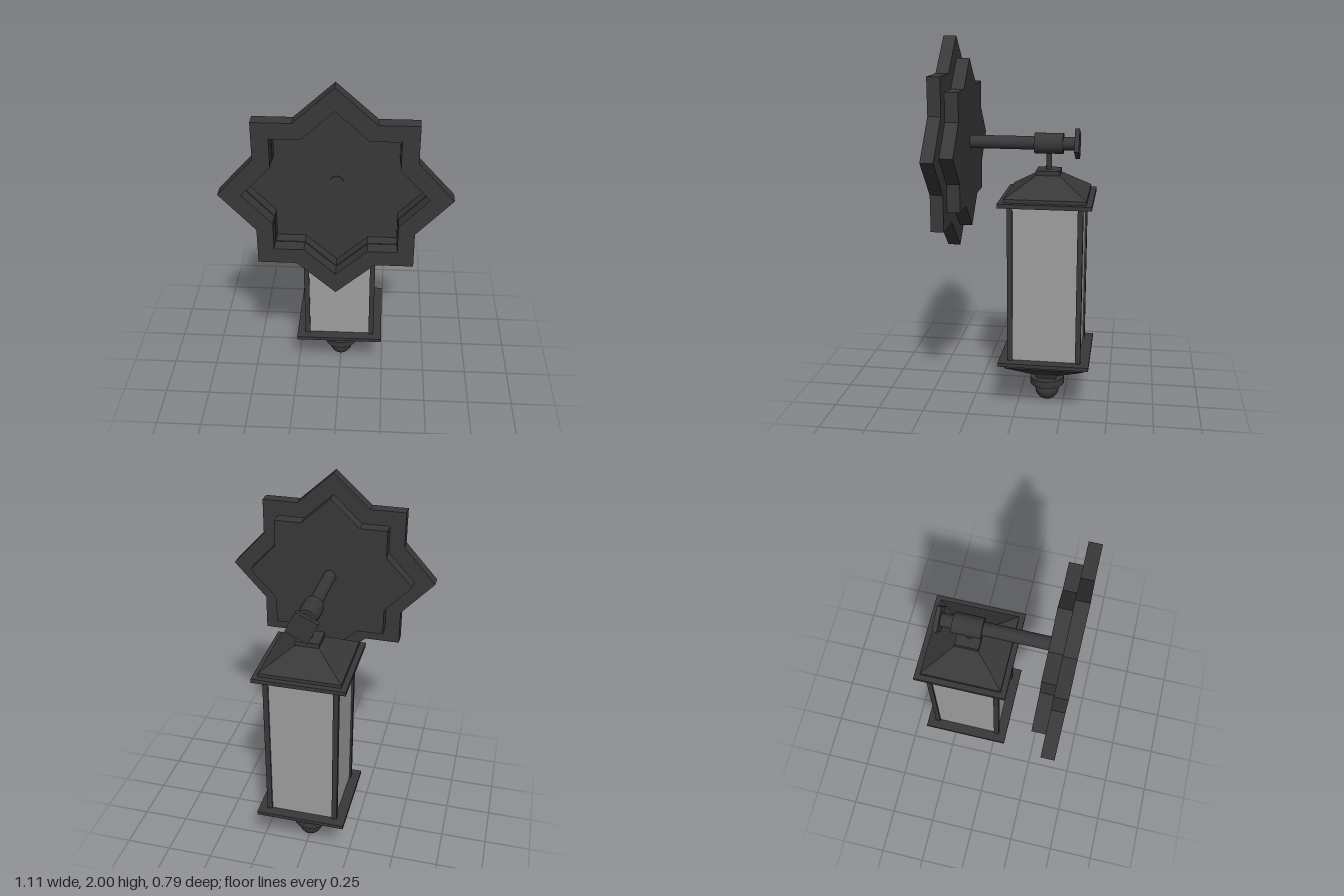
import * as THREE from 'three';

const metal = new THREE.MeshStandardMaterial({ color: 0x383838 });
metal.name = 'dark metal';
const glass = new THREE.MeshStandardMaterial({ color: 0x9e9e9e });
glass.name = 'frosted glass';

const LZ = -0.157; // lantern axis
const ROD_Y = 1.455; // arm height

function add(parent, name, geometry, material, x = 0, y = 0, z = 0) {
  const mesh = new THREE.Mesh(geometry, material);
  mesh.name = name;
  mesh.position.set(x, y, z);
  parent.add(mesh);
  return mesh;
}

// Eight-pointed star: tips on the axes, square corners on the diagonals
function starPoints(tip, half, notch) {
  const pts = [];
  for (let i = 0; i < 4; i++) {
    const c = new THREE.Vector2();
    for (const [x, y] of [[tip, 0], [half, notch], [half, half], [notch, half]]) {
      pts.push(new THREE.Vector2(x, y).rotateAround(c, i * Math.PI / 2));
    }
  }
  return pts;
}

function starPlate(points, depth, hole) {
  const shape = new THREE.Shape(points);
  if (hole) shape.holes.push(new THREE.Path(hole));
  return new THREE.ExtrudeGeometry(shape, { depth, bevelEnabled: false });
}

// Square frustum between two half widths, sides parallel to x and z
function frustum(topHalf, bottomHalf, height) {
  const k = Math.SQRT2;
  const g = new THREE.CylinderGeometry(topHalf * k, bottomHalf * k, height, 4);
  g.rotateY(Math.PI / 4);
  const flat = g.toNonIndexed();
  flat.computeVertexNormals();
  return flat;
}

function rod(radius, length, sides = 24) {
  return new THREE.CylinderGeometry(radius, radius, length, sides);
}

export function createModel() {
  const root = new THREE.Group();
  root.name = 'wallLantern';

  // Hollow stepped wall plate, open towards +z
  const plate = new THREE.Group();
  plate.name = 'wallPlate';
  plate.position.y = 1.442;
  root.add(plate);
  const outer = starPoints(0.557, 0.382, 0.193);
  const inner = starPoints(0.445, 0.301, 0.155);
  const lining = inner.map((p) => p.clone().multiplyScalar(0.988));
  add(plate, 'outerStarRim', starPlate(outer, 0.066, inner), metal, 0, 0, 0.326);
  add(plate, 'innerStarWall', starPlate(inner, 0.058, lining), metal, 0, 0, 0.268);
  add(plate, 'innerStarFloor', starPlate(inner, 0.01, null), metal, 0, 0, 0.258);

  // Arm with collar and a slightly turned square end plate
  const arm = new THREE.Group();
  arm.name = 'arm';
  arm.position.y = ROD_Y;
  root.add(arm);
  add(arm, 'armRod', rod(0.035, 0.573).rotateX(Math.PI / 2), metal, 0, 0, -0.0135);
  add(arm, 'armCollar', rod(0.054, 0.15).rotateX(Math.PI / 2), metal, 0, 0, LZ);
  const end = add(arm, 'armEndPlate', new THREE.BoxGeometry(0.127, 0.127, 0.024), metal, 0, 0, -0.305);
  end.rotation.z = Math.PI / 4 - 0.33;

  const lantern = new THREE.Group();
  lantern.name = 'lantern';
  lantern.position.z = LZ;
  root.add(lantern);

  // Hanger and roof
  add(lantern, 'hangerStem', rod(0.015, 0.12, 16), metal, 0, 1.365, 0);
  add(lantern, 'roofCap', new THREE.BoxGeometry(0.126, 0.024, 0.126), metal, 0, 1.307, 0);
  add(lantern, 'roofSlope', frustum(0.058, 0.212, 0.1), metal, 0, 1.247, 0);
  add(lantern, 'roofStep', new THREE.BoxGeometry(0.424, 0.02, 0.424), metal, 0, 1.188, 0);
  add(lantern, 'roofEave', new THREE.BoxGeometry(0.482, 0.022, 0.482), metal, 0, 1.168, 0);

  // Corner posts and glass panes
  for (const sx of [-1, 1]) {
    for (const sz of [-1, 1]) {
      add(lantern, 'cornerPost', new THREE.BoxGeometry(0.028, 0.856, 0.028), metal, sx * 0.182, 0.732, sz * 0.182);
    }
  }
  for (let i = 0; i < 4; i++) {
    const side = new THREE.Group();
    side.name = 'glassSide';
    side.rotation.y = i * Math.PI / 2;
    lantern.add(side);
    add(side, 'glassPane', new THREE.BoxGeometry(0.338, 0.856, 0.008), glass, 0, 0.732, 0.182);
  }

  // Base, tapering down to the finial
  add(lantern, 'baseSlab', new THREE.BoxGeometry(0.482, 0.02, 0.482), metal, 0, 0.296, 0);
  add(lantern, 'baseStep', new THREE.BoxGeometry(0.424, 0.02, 0.424), metal, 0, 0.276, 0);
  add(lantern, 'baseSlope', frustum(0.212, 0.062, 0.1), metal, 0, 0.216, 0);
  add(lantern, 'baseNeck', frustum(0.062, 0.05, 0.03), metal, 0, 0.152, 0);
  add(lantern, 'finialCollar', rod(0.095, 0.04), metal, 0, 0.12, 0);
  add(lantern, 'finialBall', new THREE.SphereGeometry(0.068, 16, 8), metal, 0, 0.068, 0);

  return root;
}
